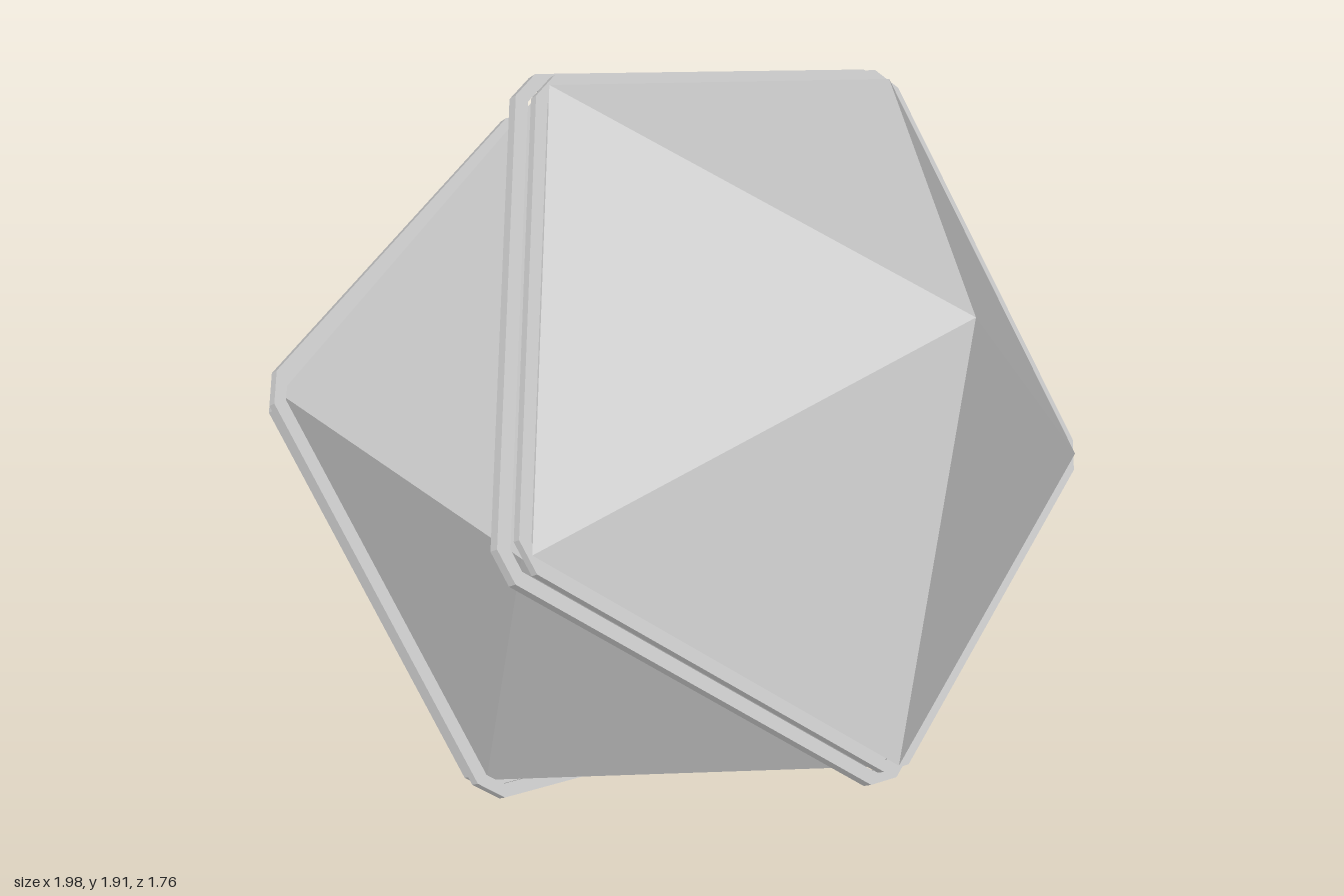
import * as THREE from 'three';
import { ConvexGeometry } from 'three/addons/geometries/ConvexGeometry.js';

const material = new THREE.MeshStandardMaterial({ color: 0xcccccc, flatShading: true });

const RADIUS = 0.892; // pentagon rim of the twenty-sided solid
const RIM_Y = 0.45; // height of the cap rim along the tilted axis

function addMesh(parent, name, geometry, y = 0) {
  const mesh = new THREE.Mesh(geometry, material);
  mesh.name = name;
  mesh.position.y = y;
  parent.add(mesh);
}

// Pentagon with clipped corners; a corner points along -y of the shape (+z once laid flat)
function clippedPentagon(radius, clip) {
  const corners = [];
  for (let i = 0; i < 5; i++) {
    const a = -Math.PI / 2 + (i * Math.PI * 2) / 5;
    corners.push(new THREE.Vector2(Math.cos(a) * radius, Math.sin(a) * radius));
  }
  const points = [];
  corners.forEach((c, i) => {
    points.push(c.clone().lerp(corners[(i + 4) % 5], clip));
    points.push(c.clone().lerp(corners[(i + 1) % 5], clip));
  });
  return points;
}

// Thin pentagonal frame with an open middle
function frameGeometry(outer, inner, height) {
  const shape = new THREE.Shape(clippedPentagon(outer, 0.045));
  shape.holes.push(new THREE.Path(clippedPentagon(inner, 0.03)));
  return new THREE.ExtrudeGeometry(shape, { depth: height, bevelEnabled: false }).rotateX(-Math.PI / 2);
}

// Ten-sided belt between the two caps
function beltGeometry(radius, halfHeight) {
  const points = [];
  for (let i = 0; i < 10; i++) {
    const a = (i * Math.PI) / 5;
    points.push(new THREE.Vector3(Math.sin(a) * radius, i % 2 ? -halfHeight : halfHeight, Math.cos(a) * radius));
  }
  return new ConvexGeometry(points);
}

// Pyramid cap with its seam frames
function buildHalf(name) {
  const half = new THREE.Group();
  half.name = name;
  const capHeight = 0.555;
  addMesh(half, 'cap', new THREE.ConeGeometry(RADIUS, capHeight, 5), RIM_Y + capHeight / 2);
  addMesh(half, 'seamCore', new THREE.CylinderGeometry(0.86, 0.86, 0.08, 5), RIM_Y - 0.045);
  addMesh(half, 'innerFrame', frameGeometry(0.925, 0.89, 0.02), RIM_Y - 0.03);
  addMesh(half, 'outerFrame', frameGeometry(0.95, 0.91, 0.025), RIM_Y - 0.085);
  return half;
}

export function createModel() {
  const model = new THREE.Group();
  model.name = 'facetedSolid';

  const solid = new THREE.Group();
  solid.name = 'tiltedSolid';
  addMesh(solid, 'belt', beltGeometry(RADIUS - 0.004, 0.405));

  const upper = buildHalf('upperHalf');
  const lower = buildHalf('lowerHalf');
  lower.rotation.x = Math.PI;
  solid.add(upper, lower);

  // Tilt so that the axis of the caps leans to the front left
  const axis = new THREE.Vector3(0.552, 0.62, 0.558).normalize();
  const corner = new THREE.Vector3(-0.59, 0.76, -0.21);
  corner.addScaledVector(axis, -corner.dot(axis)).normalize();
  const side = new THREE.Vector3().crossVectors(axis, corner);
  solid.quaternion.setFromRotationMatrix(new THREE.Matrix4().makeBasis(side, axis, corner));
  solid.position.y = 0.987;
  model.add(solid);
  return model;
}
